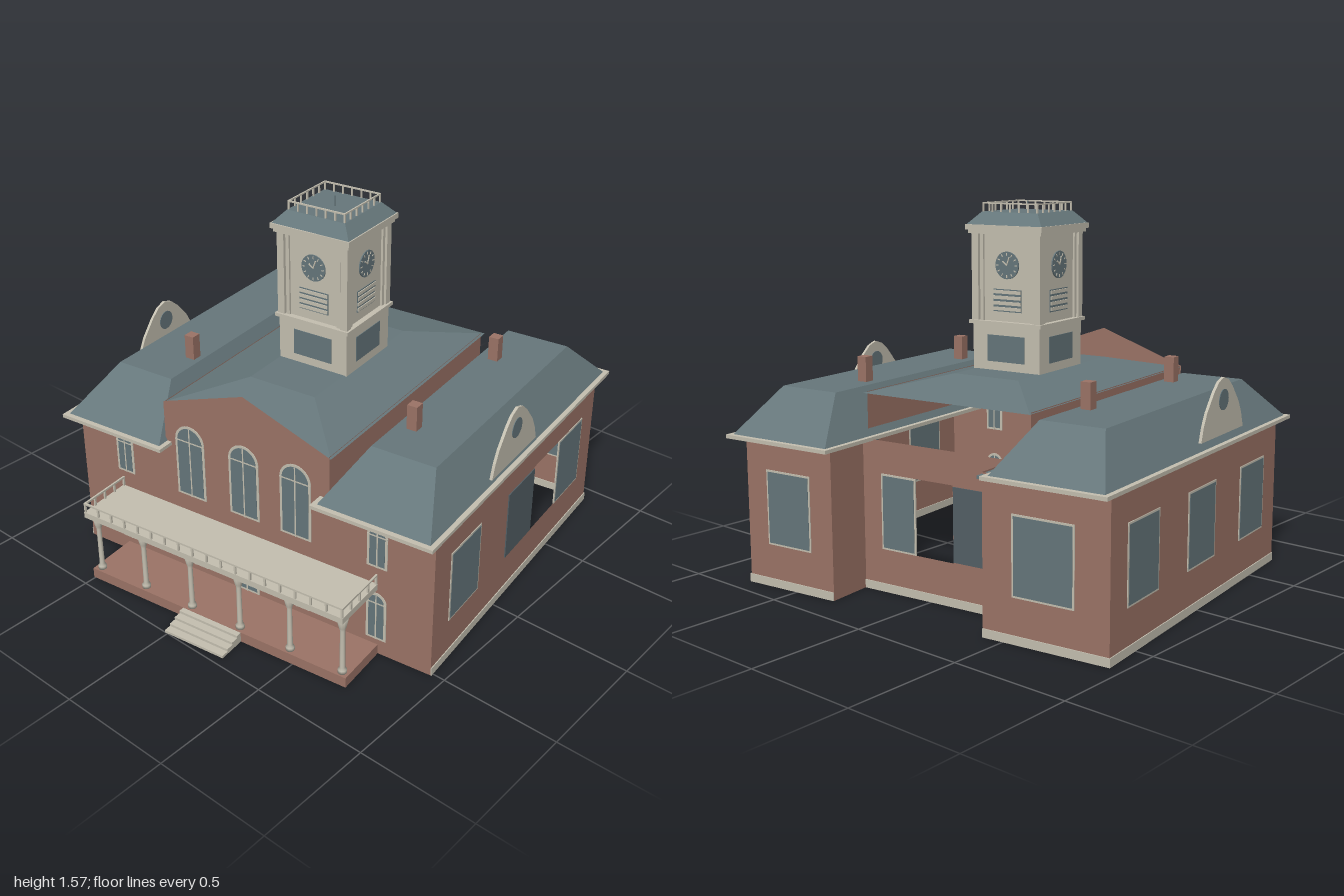
import * as THREE from 'three';

export function createModel() {
  const mat = (name, color, side = THREE.FrontSide) => {
    const m = new THREE.MeshStandardMaterial({ color, side });
    m.name = name;
    return m;
  };
  const brick = mat('brick', 0x9b7366, THREE.DoubleSide);
  const slate = mat('slate', 0x66777b);
  const cream = mat('cream stone', 0xc4bfb0);
  const glass = mat('window glass', 0x65767b);
  const darkGlass = mat('dark window glass', 0x535f65);

  const model = new THREE.Group();
  const house = new THREE.Group();
  house.name = 'townHall';
  house.rotation.y = 0.135;
  model.add(house);

  const add = (parent, name, geo, material, x = 0, y = 0, z = 0) => {
    const mesh = new THREE.Mesh(geo, material);
    mesh.name = name;
    mesh.position.set(x, y, z);
    parent.add(mesh);
    return mesh;
  };
  // Box given by its limits on each axis
  const box = (parent, name, m, x0, x1, y0, y1, z0, z1) =>
    add(parent, name, new THREE.BoxGeometry(x1 - x0, y1 - y0, z1 - z0), m,
      (x0 + x1) / 2, (y0 + y1) / 2, (z0 + z1) / 2);
  // Box whose top rectangle differs from its base: [x0, x1, z0, z1]
  const frustum = (parent, name, m, b, y0, t, y1) => {
    const g = new THREE.BoxGeometry(1, 1, 1), p = g.attributes.position;
    for (let i = 0; i < p.count; i++) {
      const up = p.getY(i) > 0, r = up ? t : b;
      p.setXYZ(i, p.getX(i) < 0 ? r[0] : r[1], up ? y1 : y0, p.getZ(i) < 0 ? r[2] : r[3]);
    }
    g.computeVertexNormals();
    return add(parent, name, g, m);
  };
  // Group on a wall plane, its own +z pointing outward
  const face = (parent, name, x, z, turn) => {
    const g = new THREE.Group();
    g.name = name;
    g.position.set(x, 0, z);
    g.rotation.y = turn * Math.PI / 2;
    parent.add(g);
    return g;
  };
  const polygon = pts => new THREE.Shape(pts.map(p => new THREE.Vector2(p[0], p[1])));
  const rect = (x0, x1, y0, y1) => polygon([[x0, y0], [x1, y0], [x1, y1], [x0, y1]]);
  const wall = (f, shape) => add(f, 'wall', new THREE.ShapeGeometry(shape), brick);
  const plate = (parent, name, shape, m, depth) =>
    add(parent, name, new THREE.ExtrudeGeometry(shape, { depth, bevelEnabled: false, curveSegments: 10 }),
      m, 0, 0, -depth / 2);
  const WY0 = 0.18, WY1 = 0.495;
  const sashWindow = (f, x, w) => {
    box(f, 'windowFrame', cream, x - w / 2, x + w / 2, WY0, WY1, -0.003, 0.003);
    box(f, 'windowPane', glass, x - w / 2 + 0.008, x + w / 2 - 0.008, WY0 + 0.008, WY1 - 0.008, -0.0045, 0.0045);
  };
  const barePane = (f, x, w) =>
    box(f, 'barePane', darkGlass, x - w / 2, x + w / 2, WY0 + 0.005, WY1 - 0.005, -0.0045, 0.0045);
  const arch = (x, r, y0, y1) => {
    const s = new THREE.Shape();
    s.moveTo(x - r, y0);
    s.lineTo(x + r, y0);
    s.lineTo(x + r, y1 - r);
    s.absarc(x, y1 - r, r, 0, Math.PI, false);
    s.closePath();
    return s;
  };
  const archWindow = (f, x, r, y0, y1) => {
    plate(f, 'archFrame', arch(x, r, y0, y1), cream, 0.006);
    plate(f, 'archPane', arch(x, r - 0.011, y0 + 0.01, y1 - 0.011), glass, 0.0084);
    box(f, 'mullion', cream, x - 0.003, x + 0.003, y0, y1 - 0.012, -0.0049, 0.0049);
    box(f, 'transom', cream, x - r, x + r, y1 - r - 0.004, y1 - r + 0.002, -0.0049, 0.0049);
  };
  const railing = (parent, x0, z0, x1, z1, y0, y1, n, t) => {
    const g = new THREE.Group();
    g.name = 'railing';
    parent.add(g);
    box(g, 'topRail', cream, Math.min(x0, x1) - t, Math.max(x0, x1) + t, y1 - 2 * t, y1,
      Math.min(z0, z1) - t, Math.max(z0, z1) + t);
    for (let i = 0; i <= n; i++) {
      const x = x0 + (x1 - x0) * i / n, z = z0 + (z1 - z0) * i / n;
      box(g, 'baluster', cream, x - t, x + t, y0, y1 - t, z - t, z + t);
    }
  };

  // Outer walls
  const L = -0.635, R = 0.804, M = 0.604, F = 0.866, B = -0.843, FI = 0.417, BI = -0.305, H = 0.63;
  const front = face(house, 'frontWall', 0, F, 0);
  const frontShape = rect(L, R, 0, H);
  frontShape.holes.push(rect(0.204, 0.443, WY0, WY1));
  wall(front, frontShape);
  const back = face(house, 'backWall', 0, B, 2);
  wall(back, rect(-R, -L, 0, H));
  for (const x of [-0.39, 0.084, 0.563]) {
    if (x === 0.084) barePane(front, x, 0.235);
    else sashWindow(front, x, 0.24);
    sashWindow(back, -x, 0.24);
  }
  const frontEnd = face(house, 'frontWingEnd', R, 0, 1);
  wall(frontEnd, rect(-F, -FI, 0, H));
  sashWindow(frontEnd, -0.644, 0.23);
  const backEnd = face(house, 'backWingEnd', R, 0, 1);
  wall(backEnd, rect(-BI, -B, 0, H));
  sashWindow(backEnd, 0.567, 0.265);
  wall(face(house, 'frontWingReturn', 0, FI, 2), rect(-R, -M, 0, H));
  const backReturn = face(house, 'backWingReturn', 0, BI, 0);
  wall(backReturn, rect(M, R, 0, H));
  sashWindow(backReturn, 0.70, 0.12);
  const recess = face(house, 'recessedWall', M, 0, 1);
  const recessShape = rect(-FI, -BI, 0, H);
  recessShape.holes.push(rect(-0.153, 0.028, WY0, WY1));
  wall(recess, recessShape);
  sashWindow(recess, -0.239, 0.172);
  barePane(recess, 0.119, 0.175);

  // Gabled entrance wall with arched windows
  const entrance = face(house, 'entranceWall', L, 0, -1);
  wall(entrance, polygon([[B, 0], [F, 0], [F, H], [0.405, H], [0.405, 0.82],
    [0.01, 0.96], [-0.385, 0.82], [-0.385, H], [B, H]]));
  for (const z of [-0.26, 0.005, 0.25]) {
    archWindow(entrance, z, 0.072, 0.41, 0.74);
    archWindow(entrance, z, 0.06, z === 0.005 ? 0.045 : 0.07, 0.3);
  }
  for (const z of [-0.61, 0.62]) {
    archWindow(entrance, z, 0.045, 0.41, 0.6);
    archWindow(entrance, z, 0.045, 0.07, 0.29);
  }

  // Stone plinth strips
  const e = 0.004;
  box(house, 'plinth', cream, L, R + e, 0, 0.035, F - e, F + e);
  box(house, 'plinth', cream, L, R + e, 0, 0.035, B - e, B + e);
  box(house, 'plinth', cream, R - e, R + e, 0, 0.035, FI, F);
  box(house, 'plinth', cream, R - e, R + e, 0, 0.035, B, BI);
  box(house, 'plinth', cream, M - e, M + e, 0, 0.035, BI, FI);

  // Wing roofs, eaves, chimneys and dormer plates
  const wing = (name, z0, z1, t0, t1, chimneyZ, dormerZ, turn) => {
    const g = new THREE.Group();
    g.name = name;
    house.add(g);
    box(g, 'eaves', cream, -0.711, 0.892, 0.625, 0.64, z0, z1);
    frustum(g, 'hipRoof', slate, [-0.689, 0.87, z0 + 0.021, z1 - 0.021], 0.64, [-0.475, 0.68, t0, t1], 0.82);
    for (const x of [-0.27, 0.412])
      box(g, 'chimney', brick, x - 0.022, x + 0.022, 0.8, 0.925, chimneyZ - 0.022, chimneyZ + 0.022);
    const d = face(g, 'dormer', turn ? -0.05 : -0.045, dormerZ, turn);
    const s = polygon([[-0.192, 0.675], [0.192, 0.675], [0.172, 0.735], [0.145, 0.785], [0.085, 0.855],
      [0.045, 0.889], [0, 0.904], [-0.045, 0.889], [-0.085, 0.855], [-0.145, 0.785], [-0.172, 0.735]]);
    plate(d, 'dormerGable', s, cream, 0.012);
    const ring = add(d, 'roundWindow', new THREE.CylinderGeometry(0.042, 0.042, 0.018, 20), glass, 0, 0.815, 0);
    ring.rotation.x = Math.PI / 2;
  };
  wing('frontWingRoof', 0.363, 0.892, 0.488, 0.768, 0.557, 0.878, 0);
  wing('backWingRoof', -0.877, -0.355, -0.748, -0.474, -0.521, -0.855, 2);
  box(house, 'backWingCeiling', slate, L + 0.01, 0.837, 0.612, 0.624, B + 0.005, BI);

  // Raised central block, open at its rear end, and its hip roof
  wall(face(house, 'upperSideWall', 0, -0.38, 2), rect(-0.59, -L, H, 0.82));
  wall(face(house, 'upperSideWall', 0, 0.4, 0), rect(L, 0.59, H, 0.82));
  frustum(house, 'centralRoof', slate, [-0.632, 0.606, -0.385, 0.41], 0.815, [-0.365, 0.325, -0.15, 0.16], 0.877);

  // Clock tower
  const tower = new THREE.Group();
  tower.name = 'clockTower';
  tower.position.set(0.01, 0, 0.01);
  house.add(tower);
  const slab = (name, m, h, y0, y1) => box(tower, name, m, -h, h, y0, y1, -h, h);
  slab('towerBase', cream, 0.162, 0.83, 1.07);
  slab('lowerCornice', cream, 0.175, 1.065, 1.08);
  slab('belfry', cream, 0.15, 1.08, 1.44);
  slab('upperCornice', cream, 0.176, 1.435, 1.45);
  slab('topCornice', cream, 0.185, 1.45, 1.472);
  frustum(tower, 'towerRoof', slate, [-0.18, 0.18, -0.18, 0.18], 1.472, [-0.135, 0.135, -0.135, 0.135], 1.522);
  for (const x of [-1, 1]) for (const z of [-1, 1])
    add(tower, 'cornerPilaster', new THREE.BoxGeometry(0.032, 0.36, 0.032), cream, x * 0.15, 1.26, z * 0.15);
  for (let i = 0; i < 4; i++) {
    const f = face(tower, 'towerFace', 0, 0, i);
    box(f, 'baseWindow', glass, -0.09, 0.09, 0.913, 1.023, 0.158, 0.165);
    for (const s of [-1, 1])
      add(f, 'pilaster', new THREE.BoxGeometry(0.016, 0.36, 0.012), cream, s * 0.121, 1.26, 0.153);
    box(f, 'louvreFrame', glass, -0.068, 0.068, 1.12, 1.212, 0.148, 0.153);
    for (let k = 0; k < 4; k++)
      box(f, 'louvreSlat', cream, -0.066, 0.066, 1.125 + k * 0.023, 1.139 + k * 0.023, 0.15, 0.157);
    const dial = add(f, 'clockDial', new THREE.CylinderGeometry(0.056, 0.056, 0.008, 28), glass, 0, 1.31, 0.151);
    dial.rotation.x = Math.PI / 2;
    for (let k = 0; k < 12; k++) {
      const a = k * Math.PI / 6;
      const tick = add(f, 'hourMark', new THREE.BoxGeometry(0.004, 0.011, 0.004), cream,
        Math.sin(a) * 0.045, 1.31 + Math.cos(a) * 0.045, 0.155);
      tick.rotation.z = -a;
    }
    for (const [a, len] of [[-0.9, 0.026], [0.35, 0.036]]) {
      const hand = add(f, 'clockHand', new THREE.BoxGeometry(0.005, len, 0.004), cream,
        Math.sin(a) * len / 2, 1.31 + Math.cos(a) * len / 2, 0.156);
      hand.rotation.z = -a;
    }
    railing(f, -0.13, 0.13, 0.13, 0.13, 1.52, 1.56, 6, 0.003);
  }
  add(tower, 'roofRod', new THREE.CylinderGeometry(0.003, 0.003, 0.05, 8), slate, 0, 1.54, 0);

  // Portico with balcony, columns and steps
  const portico = new THREE.Group();
  portico.name = 'portico';
  house.add(portico);
  const W = L - 0.002;
  box(portico, 'porticoFloor', brick, -0.87, W, 0, 0.045, -0.63, 0.63);
  box(portico, 'balcony', cream, -0.885, W, 0.31, 0.336, -0.635, 0.625);
  railing(portico, -0.88, -0.63, -0.88, 0.62, 0.336, 0.38, 18, 0.004);
  for (const z of [-0.63, 0.62]) railing(portico, -0.88, z, W - 0.004, z, 0.336, 0.38, 4, 0.004);
  const column = [[0, 0], [0.018, 0], [0.018, 0.015], [0.011, 0.025], [0.01, 0.2], [0.015, 0.215], [0.026, 0.265], [0, 0.265]]
    .map(p => new THREE.Vector2(p[0], p[1]));
  for (let i = 0; i < 6; i++)
    add(portico, 'column', new THREE.LatheGeometry(column, 10), cream, -0.845, 0.045, -0.6 + i * 0.24);
  for (let i = 0; i < 4; i++)
    box(portico, 'step', cream, -0.99 + i * 0.032, -0.86, i * 0.011, (i + 1) * 0.011, -0.148, 0.14);

  return model;
}
